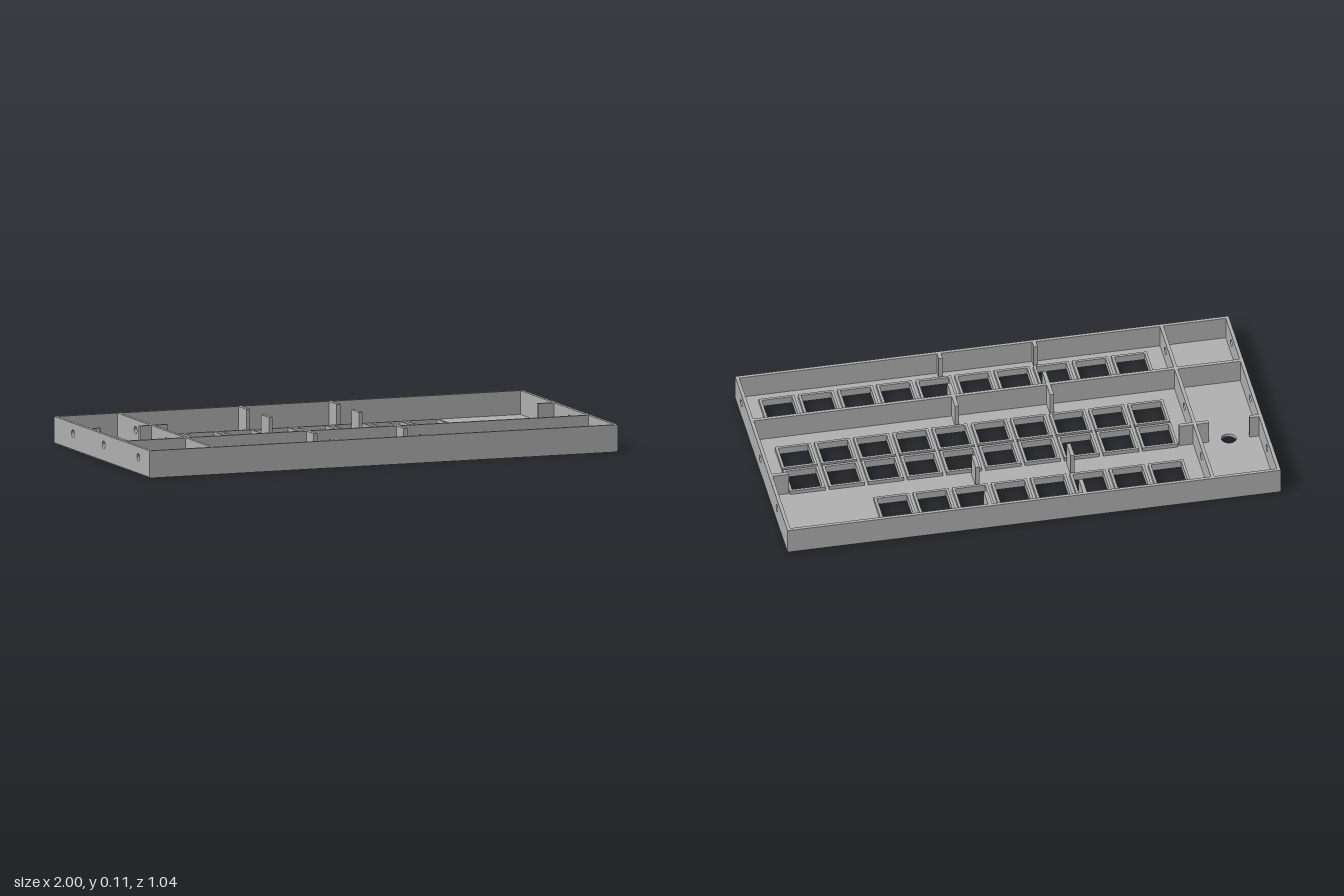
import * as THREE from 'three';

const W = 1, D = 0.52, H = 0.11, T = 0.014;   // half width, half depth, height, wall thickness
const FLOOR = 0.014, RIM = 0.03, EDGE = 0.004;
const PITCH = 0.1588, FIRST = -0.584, INNER = 0.061, OUTER = 0.072;
const ROWS = [[-0.339, 8], [-0.091, 10], [0.064, 10], [0.387, 10]]; // z, number of windows

const rectPoints = (x0, x1, y0, y1) => [
  new THREE.Vector2(x0, y0), new THREE.Vector2(x1, y0),
  new THREE.Vector2(x1, y1), new THREE.Vector2(x0, y1)];

const circlePath = (x, y, r) => new THREE.Path().absarc(x, y, r, 0, Math.PI * 2, true);

export function createModel() {
  const model = new THREE.Group();
  model.name = 'keyboardCase';
  const grey = new THREE.MeshStandardMaterial({ color: 0xb2b2b2 });
  grey.name = 'grey plastic';

  const add = (name, geometry) => {
    const mesh = new THREE.Mesh(geometry, grey);
    mesh.name = name;
    model.add(mesh);
  };

  const box = (name, x0, x1, y0, y1, z0, z1) => {
    const g = new THREE.BoxGeometry(x1 - x0, y1 - y0, z1 - z0);
    g.translate((x0 + x1) / 2, (y0 + y1) / 2, (z0 + z1) / 2);
    add(name, g);
  };

  const windows = [];
  for (const [z, count] of ROWS)
    for (let i = 0; i < count; i++) windows.push([FIRST + i * PITCH, z]);

  // Horizontal slab, shape drawn in x and -z, extruded upwards
  const slab = (name, shape, y0, y1) => {
    const g = new THREE.ExtrudeGeometry(shape, { depth: y1 - y0, bevelEnabled: false, curveSegments: 16 });
    g.rotateX(-Math.PI / 2);
    g.translate(0, y0, 0);
    add(name, g);
  };

  // Floor piece with every window and the cable hole that falls inside it
  const floorPiece = (name, half, z0, z1, y0, y1) => {
    const shape = new THREE.Shape(rectPoints(-half, half, -z1, -z0));
    for (const [x, z] of windows)
      if (z > z0 && z < z1)
        shape.holes.push(new THREE.Path(rectPoints(x - INNER, x + INNER, -z - INNER, -z + INNER)));
    if (z0 < -0.15) shape.holes.push(circlePath(-0.865, 0.148, 0.03));
    slab(name, shape, y0, y1);
  };
  floorPiece('floor', W - 0.002, -D + 0.002, D - 0.002, EDGE, FLOOR);
  floorPiece('undersideBack', W - EDGE, -D + EDGE, 0.308, 0, EDGE);
  floorPiece('undersideFront', W - EDGE, 0.312, D - EDGE, 0, EDGE);

  // Raised rim round each window
  for (const [x, z] of windows) {
    const rim = new THREE.Shape(rectPoints(x - OUTER, x + OUTER, -z - OUTER, -z + OUTER));
    rim.holes.push(new THREE.Path(rectPoints(x - INNER, x + INNER, -z - INNER, -z + INNER)));
    slab('windowRim', rim, FLOOR, RIM);
  }

  // Side walls and divider, drilled with three holes each
  const drilledWall = (name, x0, z0, z1, y0) => {
    const shape = new THREE.Shape(rectPoints(z0, z1, y0, H));
    for (const z of [0.397, 0.022, -0.312]) shape.holes.push(circlePath(z, 0.068, 0.015));
    const g = new THREE.ExtrudeGeometry(shape, { depth: T, bevelEnabled: false, curveSegments: 16 });
    g.rotateY(-Math.PI / 2);
    g.translate(x0 + T, 0, 0);
    add(name, g);
  };
  drilledWall('rightWall', -W, -D, D, EDGE);
  drilledWall('leftWall', W - T, -D, D, EDGE);
  drilledWall('compartmentDivider', -0.733, -D + T, D - T, FLOOR);

  // Front and back walls, and the long divider
  box('frontWall', -W + T, W - T, EDGE, H, D - T, D);
  box('backWall', -W + T, W - T, EDGE, H, -D, -D + T);
  box('longDivider', -W + T, W - T, FLOOR, H, 0.217, 0.232);

  // Short ribs running front to back
  for (const x of [-0.209, 0.176])
    for (const [z0, z1] of [[-D + T, -0.42], [-0.26, -0.178], [0.152, 0.217], [0.232, 0.308], [0.474, D - T]])
      box('crossRib', x - 0.008, x + 0.008, FLOOR, H, z0, z1);

  // Short ribs running sideways
  for (const [x0, x1] of [[-W + T, -0.948], [-0.782, -0.733], [-0.719, -0.662], [0.92, W - T]])
    box('sideRib', x0, x1, FLOOR, H, -0.156, -0.14);

  return model;
}
